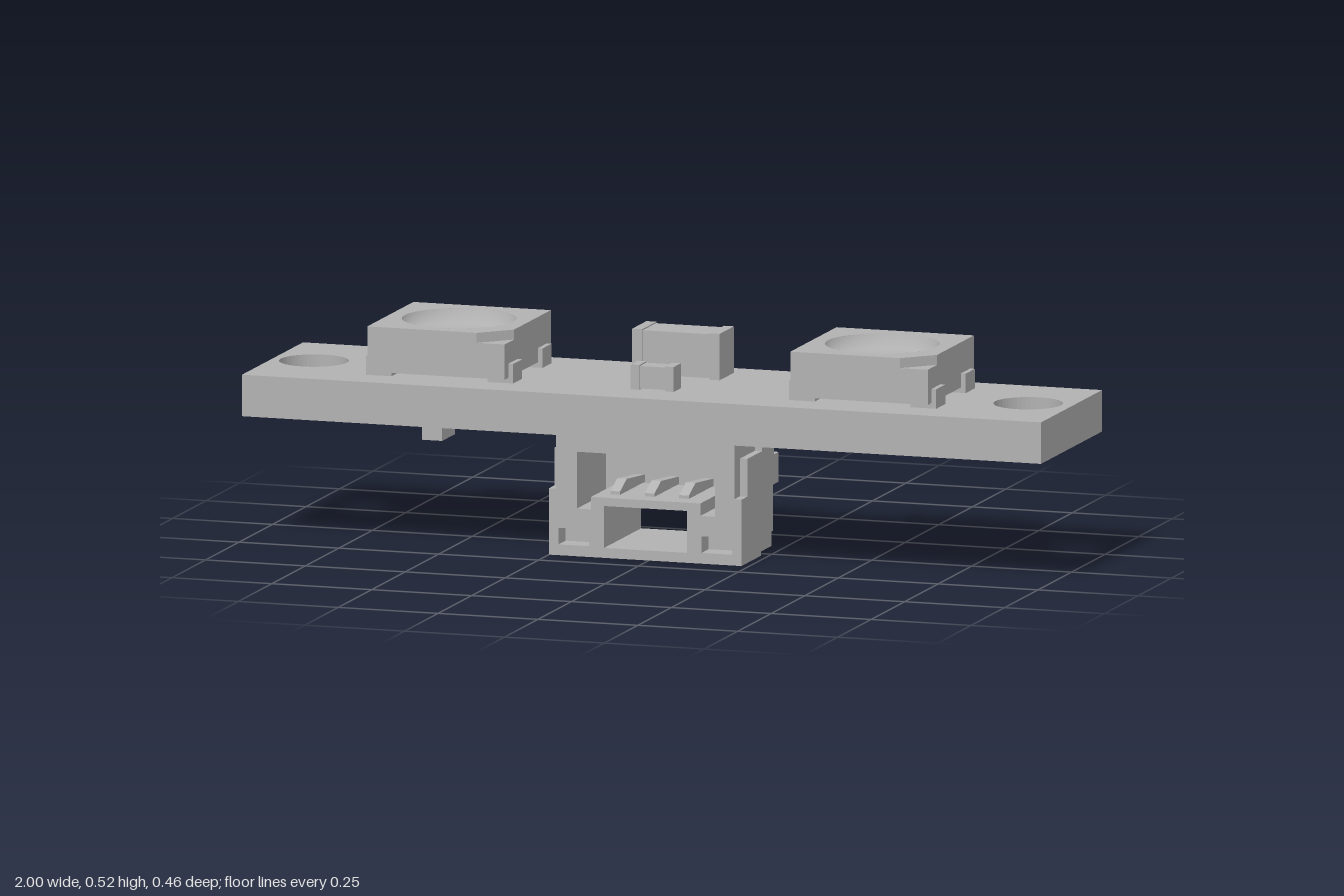
import * as THREE from 'three';

const grey = new THREE.MeshStandardMaterial({ color: 0xb2b2b2, side: THREE.DoubleSide });
grey.name = 'plain grey';

function add(parent, name, geometry) {
  const mesh = new THREE.Mesh(geometry, grey);
  mesh.name = name;
  parent.add(mesh);
  return mesh;
}

// Box given by its lower and upper limits on each axis
function block(parent, name, x0, x1, y0, y1, z0, z1) {
  const mesh = add(parent, name, new THREE.BoxGeometry(x1 - x0, y1 - y0, z1 - z0));
  mesh.position.set((x0 + x1) / 2, (y0 + y1) / 2, (z0 + z1) / 2);
  return mesh;
}

const vectors = (points) => points.map(([x, y]) => new THREE.Vector2(x, y));
const polygon = (points) => new THREE.Shape(vectors(points));
const rectPoints = (x0, x1, y0, y1) => [[x0, y0], [x1, y0], [x1, y1], [x0, y1]];

function extrude(shape, depth) {
  return new THREE.ExtrudeGeometry(shape, { depth, bevelEnabled: false, curveSegments: 24 });
}

function withHoles(outer, holes) {
  const shape = polygon(outer);
  holes.forEach((h) => shape.holes.push(new THREE.Path(vectors(h))));
  return shape;
}

function roundHole(shape, x, y, r) {
  const path = new THREE.Path();
  path.absarc(x, y, r, 0, Math.PI * 2, true);
  shape.holes.push(path);
}

// Square lamp package with a marked corner, a shallow dish and four leads
function lamp(x) {
  const g = new THREE.Group();
  g.name = 'lamp';
  const h = 0.172, low = 0.5, top = 0.524, cut = 0.07;
  block(g, 'lampBase', -h, h, 0.415, low - 0.012, -h, h);

  const ring = polygon(rectPoints(-h, h, -h, h));
  roundHole(ring, 0, 0, 0.136);
  add(g, 'lampCollar', extrude(ring, 0.012).rotateX(-Math.PI / 2)).position.y = low - 0.012;

  const rim = polygon([[-h, -h], [h - cut, -h], [h, -h + cut], [h, h], [-h, h]]);
  roundHole(rim, 0, 0, 0.136);
  add(g, 'lampRim', extrude(rim, top - low).rotateX(-Math.PI / 2)).position.y = low;

  const dish = vectors([[0, low - 0.01], [0.122, low - 0.01], [0.136, top]]);
  const dishGeometry = new THREE.LatheGeometry(dish, 40);
  add(g, 'lampDish', dishGeometry);

  for (const sx of [-1, 1]) {
    for (const z of [-0.109, 0.111]) {
      const lead = block(g, 'lampLead', 0.168, 0.184, 0.408, 0.449, z - 0.034, z + 0.034);
      lead.position.x *= sx;
      const foot = block(g, 'lampFoot', 0.12, 0.184, 0.402, 0.415, z - 0.034, z + 0.034);
      foot.position.x *= sx;
    }
  }
  g.position.x = x;
  return g;
}

// Chip component: a body with two slightly larger end caps
function chip(name, x0, x1, y0, y1, z0, z1, cap) {
  const g = new THREE.Group();
  g.name = name;
  const e = 0.003;
  block(g, 'chipBody', x0 + cap, x1 - cap, y0 + e, y1 - e, z0 + e, z1 - e);
  block(g, 'chipCap', x0, x0 + cap, y0, y1, z0, z1);
  block(g, 'chipCap', x1 - cap, x1, y0, y1, z0, z1);
  return g;
}

function connector() {
  const g = new THREE.Group();
  g.name = 'connector';
  const L = -0.232, R = 0.214, zFront = 0.173, zBack = -0.104;
  const win = rectPoints(-0.112, 0.096, 0.024, 0.125);
  const cavity = [[-0.18, 0.115], [-0.145, 0.115], [-0.145, 0.145], [0.129, 0.145],
    [0.129, 0.115], [0.166, 0.115], [0.166, 0.252], [-0.18, 0.252]];
  const pockets = [rectPoints(-0.226, -0.15, 0.026, 0.066), rectPoints(0.132, 0.208, 0.026, 0.066)];

  // Housing in slices from the front to the back
  const slices = [
    ['housingFace', 0.12, zFront, 0.293, [win, cavity, ...pockets]],
    ['housingMiddle', -0.045, 0.12, 0.293, [win, cavity]],
    ['housingRear', -0.07, -0.045, 0.293, [win]],
    ['housingBack', zBack, -0.07, 0.228, [win]],
  ];
  for (const [name, z0, z1, top, holes] of slices) {
    const shape = withHoles(rectPoints(L, R, 0, top), holes);
    add(g, name, extrude(shape, z1 - z0)).position.z = z0;
  }

  // Stepped cheeks on both sides, drawn in z and y
  const cheek = polygon([[zFront, 0], [zFront, 0.16], [0.13, 0.16], [0.13, 0.251], [0.02, 0.251],
    [0.02, 0.293], [-0.07, 0.293], [-0.07, 0.228], [zBack, 0.228], [zBack, 0.156],
    [-0.062, 0.156], [-0.062, 0.045], [0.026, 0.045], [0.026, 0]]);
  const cheekGeometry = extrude(cheek, 0.018).rotateY(-Math.PI / 2);
  add(g, 'leftCheek', cheekGeometry).position.x = R + 0.018;
  add(g, 'rightCheek', cheekGeometry).position.x = L;

  // Lip behind the window
  block(g, 'windowLip', -0.052, 0.033, 0.102, 0.126, -0.06, -0.03);

  // Contacts inside, with bent legs reaching the board behind
  const contact = polygon([[-0.05, 0.148], [0.14, 0.148], [0.14, 0.156], [0.09, 0.178], [-0.05, 0.165]]);
  const leg = polygon([[-0.05, 0.248], [-0.118, 0.248], [-0.13, 0.272], [-0.166, 0.272],
    [-0.166, 0.296], [-0.118, 0.296], [-0.108, 0.272], [-0.05, 0.272]]);
  const contactGeometry = extrude(contact, 0.024).rotateY(-Math.PI / 2);
  const legGeometry = extrude(leg, 0.024).rotateY(-Math.PI / 2);
  for (const x of [-0.095, -0.009, 0.077]) {
    add(g, 'contact', contactGeometry).position.x = x + 0.012;
    add(g, 'contactLeg', legGeometry).position.x = x + 0.012;
    block(g, 'contactTip', x - 0.007, x + 0.007, 0.223, 0.245, -0.046, 0.02);
  }
  return g;
}

export function createModel() {
  const model = new THREE.Group();
  model.name = 'lampBoard';

  // Board with two mounting holes
  const plate = polygon(rectPoints(-1, 1, -0.228, 0.228));
  roundHole(plate, -0.898, 0.005, 0.083);
  roundHole(plate, 0.89, 0.005, 0.083);
  add(model, 'board', extrude(plate, 0.1).rotateX(-Math.PI / 2)).position.y = 0.3;

  // Parts on top
  model.add(lamp(-0.533), lamp(0.526));
  model.add(chip('largeChip', -0.117, 0.102, 0.402, 0.514, -0.158, -0.052, 0.025));
  model.add(chip('smallChip', -0.06, 0.048, 0.402, 0.462, 0.076, 0.13, 0.022));

  // Parts underneath
  model.add(connector());
  model.add(chip('lowerChip', -0.722, -0.615, 0.268, 0.299, -0.155, -0.095, 0.022));
  block(model, 'lowerBlock', -0.6, -0.55, 0.24, 0.3, -0.02, 0.075);
  block(model, 'lowerSmallBlock', -0.414, -0.379, 0.262, 0.3, -0.16, -0.098);
  return model;
}
